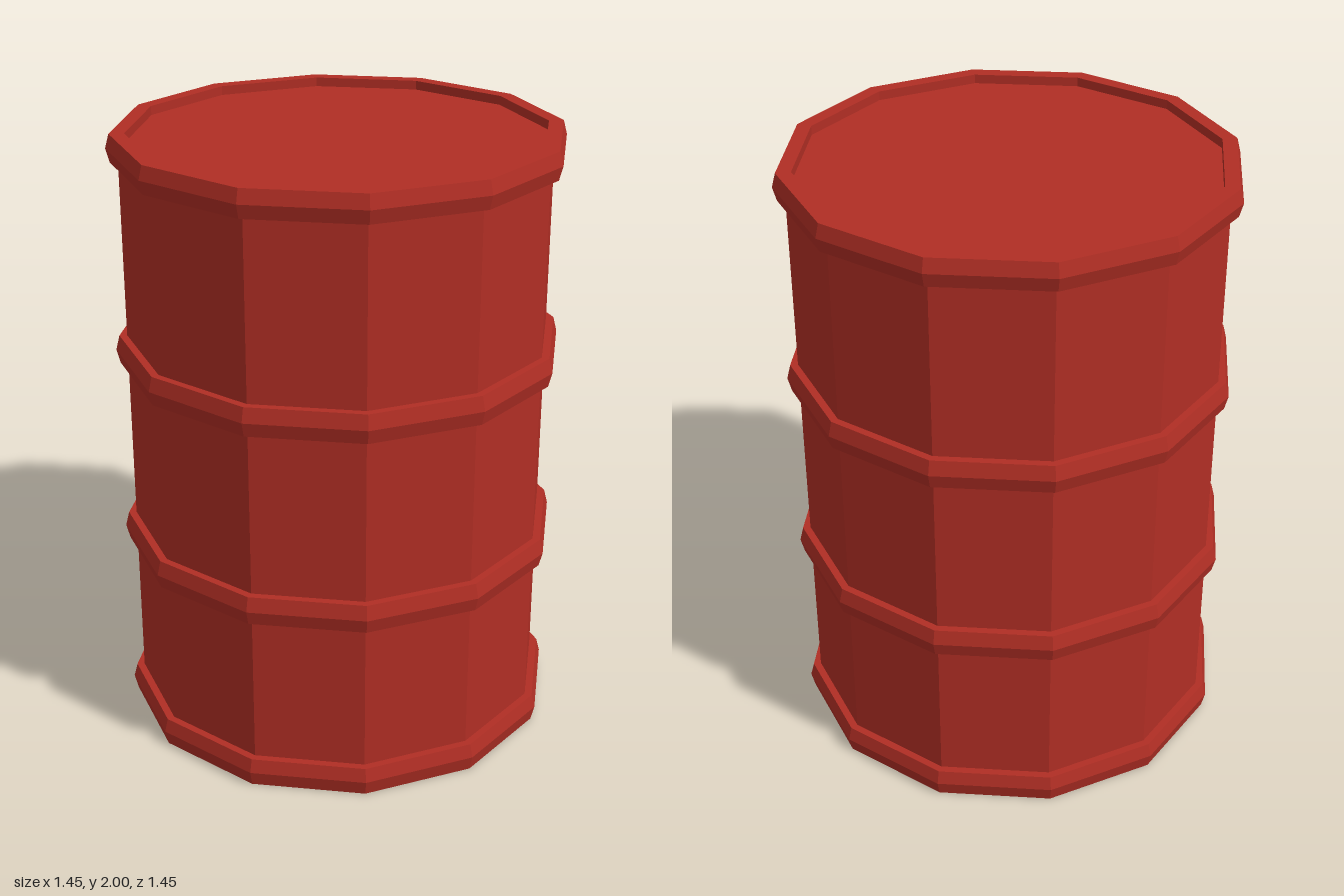
import * as THREE from 'three';

const SIDES = 12;

export function createModel() {
  const barrel = new THREE.Group();
  barrel.name = 'barrel';
  const paint = new THREE.MeshStandardMaterial({ color: 0xb02e24, flatShading: true });

  // Turns a [radius, height] profile, listed from bottom to top on the outside
  const turned = (name, profile, y = 0) => {
    const points = profile.map(([r, h]) => new THREE.Vector2(r, h));
    const mesh = new THREE.Mesh(new THREE.LatheGeometry(points, SIDES), paint);
    mesh.name = name;
    mesh.position.y = y;
    barrel.add(mesh);
  };

  // Drum wall between the bottom and top hoops
  turned('drumWall', [[0.69, 0.05], [0.69, 1.95]]);

  // Bottom hoop with the flat base
  turned('bottomHoop', [[0, 0], [0.715, 0], [0.727, 0.05], [0.715, 0.095], [0.69, 0.095]]);

  // Two raised hoops around the wall
  [['lowerHoop', 0.6], ['upperHoop', 1.24]].forEach(([name, y]) =>
    turned(name, [[0.69, 0], [0.715, 0], [0.727, 0.047], [0.715, 0.095], [0.69, 0.095]], y));

  // Top hoop, its rim and the slightly sunken lid
  turned('topRimAndLid', [
    [0.69, 1.91], [0.715, 1.91], [0.727, 1.955], [0.715, 2],
    [0.667, 2], [0.667, 1.97], [0, 1.97],
  ]);

  return barrel;
}
